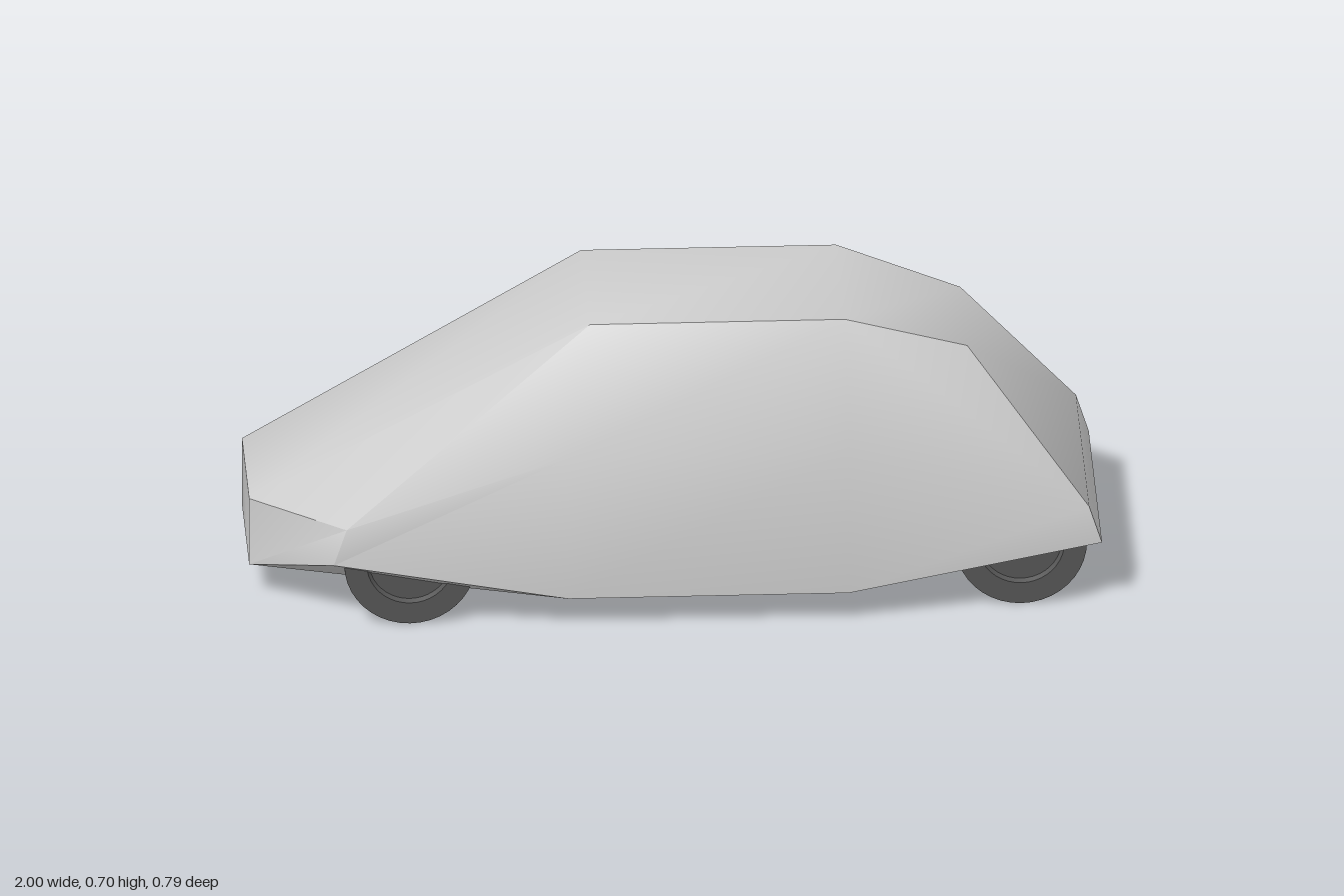
import * as THREE from 'three';
import { toCreasedNormals } from 'three/addons/utils/BufferGeometryUtils.js';

// Corner points of the +z half of the shell; the other half is mirrored
const P = {
  noseLow: [-1, 0.08, 0.17], noseTop: [-1, 0.25, 0.17],
  cornerLow: [-0.81, 0.157, 0.355], cornerTop: [-0.78, 0.25, 0.36],
  sillFront: [-0.26, 0.077, 0.395], beltFront: [-0.26, 0.44, 0.395],
  sillRear: [0.4, 0.077, 0.395], beltRear: [0.4, 0.44, 0.395],
  roofFront: [-0.2, 0.7, 0.21], roofRear: [0.4, 0.7, 0.21],
  hatch: [0.69, 0.605, 0.165],
  tailTop: [0.97, 0.25, 0.315], tailLow: [1, 0.157, 0.315],
};

// Side panels, counter-clockwise from outside
const SIDE = [
  ['noseLow', 'cornerLow', 'cornerTop', 'noseTop'],
  ['cornerLow', 'sillFront', 'beltFront', 'cornerTop'],
  ['sillFront', 'sillRear', 'beltRear', 'beltFront'],
  ['sillRear', 'tailLow', 'tailTop', 'beltRear'],
  ['noseTop', 'cornerTop', 'roofFront'],
  ['cornerTop', 'beltFront', 'roofFront'],
  ['beltFront', 'beltRear', 'roofRear', 'roofFront'],
  ['beltRear', 'tailTop', 'roofRear'],
  ['roofRear', 'tailTop', 'hatch'],
  ['noseLow', 'sillFront', 'cornerLow'],
];

// Closed loop of centre panels: nose, windscreen, roof, hatch, tail, floor
const LOOP = ['noseLow', 'noseTop', 'roofFront', 'roofRear', 'hatch',
  'tailTop', 'tailLow', 'sillRear', 'sillFront'];

function bodyGeometry() {
  const pos = [];
  const mirror = ([x, y, z]) => [x, y, -z];
  const face = (pts) => {
    for (let i = 1; i < pts.length - 1; i++) pos.push(...pts[0], ...pts[i], ...pts[i + 1]);
  };
  for (const names of SIDE) {
    const pts = names.map((n) => P[n]);
    face(pts);
    face(pts.map(mirror).reverse());
  }
  LOOP.forEach((name, i) => {
    const a = P[name], b = P[LOOP[(i + 1) % LOOP.length]];
    face([a, b, mirror(b), mirror(a)]);
  });
  const geo = new THREE.BufferGeometry();
  geo.setAttribute('position', new THREE.Float32BufferAttribute(pos, 3));
  return toCreasedNormals(geo, 0.8);
}

// Wheel with a shallow dish on both faces, axle along z
function wheelGeometry(radius, width) {
  const h = width / 2;
  const profile = [
    [0, -h + 0.012], [radius * 0.62, -h + 0.012], [radius * 0.66, -h], [radius, -h],
    [radius, h], [radius * 0.66, h], [radius * 0.62, h - 0.012], [0, h - 0.012],
  ].map(([r, y]) => new THREE.Vector2(r, y));
  const geo = new THREE.LatheGeometry(profile, 40);
  geo.rotateX(Math.PI / 2);
  return toCreasedNormals(geo, 0.5);
}

export function createModel() {
  const paint = new THREE.MeshStandardMaterial({ color: 0xcccccc });
  paint.name = 'light grey paint';
  const rubber = new THREE.MeshStandardMaterial({ color: 0x555555 });
  rubber.name = 'dark grey rubber';

  const model = new THREE.Group();
  model.name = 'car';

  const body = new THREE.Mesh(bodyGeometry(), paint);
  body.name = 'body';
  model.add(body);

  // Wheels: the nose axle has a wider track than the tail axle
  const radius = 0.155;
  const geo = wheelGeometry(radius, 0.06);
  for (const [axle, x, track] of [['nose', -0.63, 0.317], ['tail', 0.81, 0.275]]) {
    for (const side of [1, -1]) {
      const wheel = new THREE.Mesh(geo, rubber);
      wheel.name = axle + 'Wheel' + (side > 0 ? 'Front' : 'Back');
      wheel.position.set(x, radius, side * track);
      model.add(wheel);
    }
  }
  return model;
}
